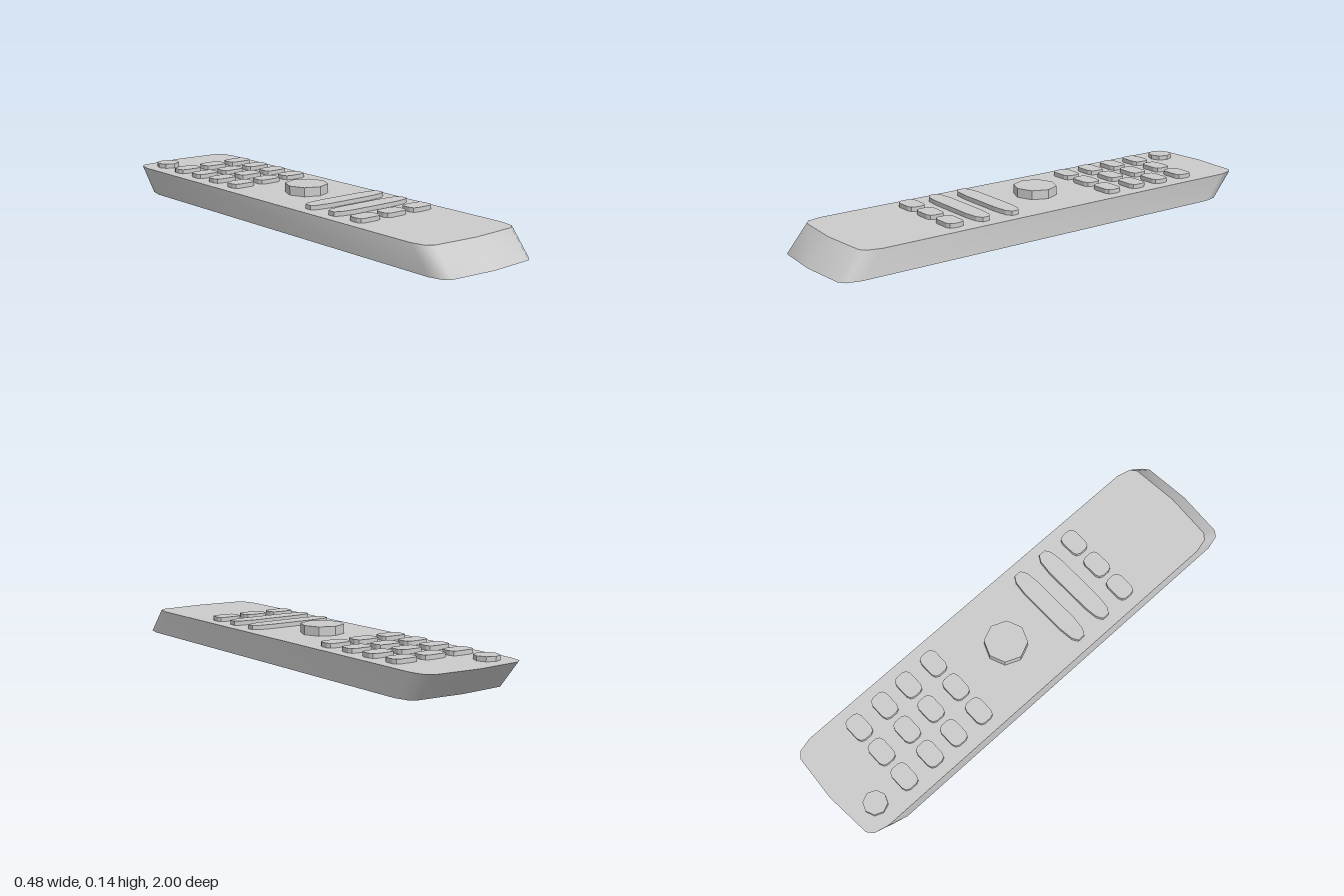
import * as THREE from 'three';
import { toCreasedNormals } from 'three/addons/utils/BufferGeometryUtils.js';

const TOP = 0.107; // height of the casing's upper face

export function createModel() {
  const group = new THREE.Group();
  const smooth = new THREE.MeshStandardMaterial({ color: 0xcccccc });
  const flat = new THREE.MeshStandardMaterial({ color: 0xcccccc, flatShading: true });

  const add = (name, geometry, material, x = 0, y = 0, z = 0) => {
    const mesh = new THREE.Mesh(geometry, material);
    mesh.name = name;
    mesh.position.set(x, y, z);
    group.add(mesh);
    return mesh;
  };

  // Mirrors one corner into a closed outline and extrudes it upwards
  const slab = (corner, height) => {
    const back = [...corner].reverse();
    const points = [
      ...corner,
      ...back.map(([x, y]) => [-x, y]),
      ...corner.map(([x, y]) => [-x, -y]),
      ...back.map(([x, y]) => [x, -y]),
    ].filter(([x, y], i, all) => i === 0 || x !== all[i - 1][0] || y !== all[i - 1][1]);
    const shape = new THREE.Shape(points.map(([x, y]) => new THREE.Vector2(x, y)));
    return new THREE.ExtrudeGeometry(shape, { depth: height, bevelEnabled: false })
      .rotateX(-Math.PI / 2);
  };

  // Casing: a long rounded slab whose top leans towards the back
  const casing = slab([[0.24, 0.86], [0.225, 0.92], [0.2, 0.94], [0, 0.955]], TOP);
  const pos = casing.attributes.position;
  for (let i = 0; i < pos.count; i++) {
    pos.setZ(i, pos.getZ(i) + 0.045 - 0.09 * pos.getY(i) / TOP);
  }
  add('casing', toCreasedNormals(casing, 0.75), smooth);

  // Rounded keys: four rows above the navigation pad, one row near the front
  const key = slab([[0.055, 0.016], [0.048, 0.031], [0.031, 0.038]], 0.018);
  [-0.73, -0.595, -0.468, -0.333, 0.458].forEach((z, row) => {
    [-0.137, 0, 0.137].forEach((x, column) => {
      add(`key${row + 1}_${column + 1}`, key, flat, x, TOP, z);
    });
  });

  // Wide bars: the same key stretched sideways
  [0.185, 0.325].forEach((z, i) => {
    add(`wideKey${i + 1}`, key, flat, 0, TOP, z).scale.x = 3.5;
  });

  // Octagonal navigation pad and power key
  add('navigationPad', new THREE.CylinderGeometry(0.09, 0.09, 0.038, 8), flat, 0, TOP + 0.019, -0.058);
  add('powerKey', new THREE.CylinderGeometry(0.05, 0.05, 0.019, 8), flat, -0.14, TOP + 0.0095, -0.883);

  return group;
}
